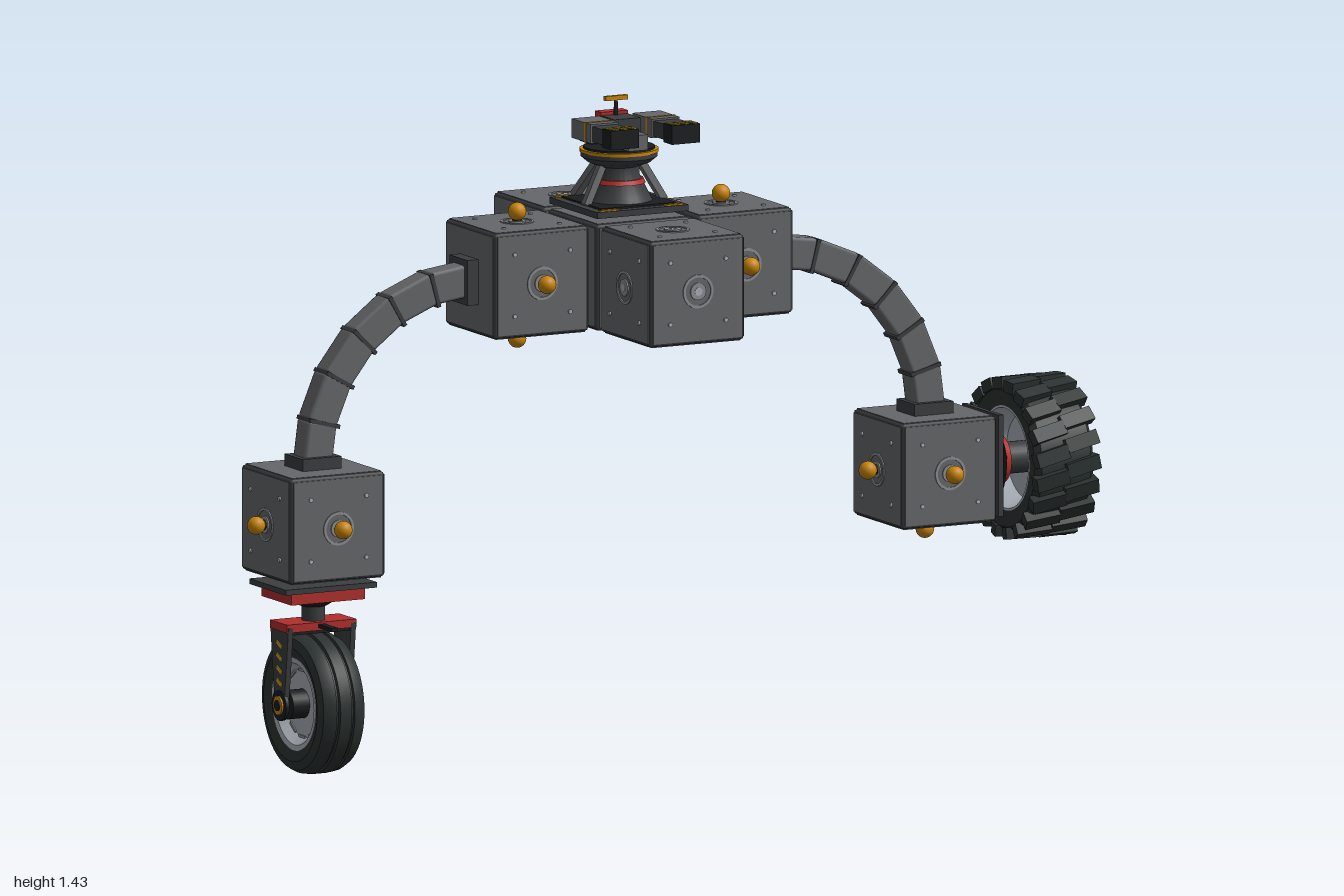
import * as THREE from 'three';
import { mergeGeometries, toCreasedNormals } from 'three/addons/utils/BufferGeometryUtils.js';
import { RoundedBoxGeometry } from 'three/addons/geometries/RoundedBoxGeometry.js';

const COLORS = {
  hullGrey: 0x66676a, darkGrey: 0x3b3d40, black: 0x1b1d1f, rubber: 0x2b3231, rimSilver: 0xa9afb8,
  discGrey: 0x8b8e92, orange: 0xc98508, yellow: 0xd2a52a, red: 0xb02e2c, green: 0x109a58,
};
const UP = new THREE.Vector3(0, 1, 0);
const CX = -0.092; // axis of the central module
const STEP = 0.25, HALF = 0.117;

export function createModel() {
  const M = {};
  for (const k in COLORS) {
    M[k] = new THREE.MeshStandardMaterial({ color: COLORS[k] });
    M[k].name = k;
  }
  const root = new THREE.Group();
  root.name = 'modularRover';

  const group = (name, parent, x = 0, y = 0, z = 0) => {
    const g = new THREE.Group();
    g.name = name;
    g.position.set(x, y, z);
    parent.add(g);
    return g;
  };
  const add = (name, parent, geo, mat, x = 0, y = 0, z = 0) => {
    const m = new THREE.Mesh(geo, M[mat]);
    m.name = name;
    m.position.set(x, y, z);
    parent.add(m);
    return m;
  };
  const box = (w, h, d) => new THREE.BoxGeometry(w, h, d);
  const cyl = (r1, r2, h, n = 24) => new THREE.CylinderGeometry(r1, r2, h, n);
  const lathe = (pts, n = 48) => toCreasedNormals(
    new THREE.LatheGeometry(pts.map(p => new THREE.Vector2(...p)), n), 0.6);
  // Repeat a geometry around the y axis
  const ring = (geo, n, offset = 0) => mergeGeometries(Array.from({ length: n }, (_, i) =>
    geo.clone().rotateY(offset + (i / n) * Math.PI * 2)));
  const ringBand = (inner, outer, h) => lathe(
    [[inner, -h / 2], [outer, -h / 2], [outer, h / 2], [inner, h / 2], [inner, -h / 2]], 32);

  // Module cubes: face types follow +x -x +y -y +z -z
  // b = ball, p = plain socket, l = link, a = arm mount, n = joined
  const dirs = [[1, 0, 0], [-1, 0, 0], [0, 1, 0], [0, -1, 0], [0, 0, 1], [0, 0, -1]];
  const core = new RoundedBoxGeometry(0.232, 0.232, 0.232, 1, 0.008);
  const boltGeo = mergeGeometries([-1, 1].flatMap(a => [-1, 1].map(b =>
    cyl(0.005, 0.005, 0.004, 10).translate(a * 0.068, 0.119, b * 0.068))));
  function module(name, x, y, z, faces) {
    const g = group(name, root, x, y, z);
    add('cubeFrame', g, core, 'darkGrey');
    dirs.forEach((d, i) => {
      const f = group('cubeFace', g);
      f.quaternion.setFromUnitVectors(UP, new THREE.Vector3(...d));
      const type = faces[i];
      add('facePanel', f, box(0.218, 0.004, 0.218), 'hullGrey', 0, 0.1155);
      if (type === 'b' || type === 'p') {
        add('faceBolts', f, boltGeo, 'rimSilver');
        add('socketRing', f, ringBand(0.031, 0.037, 0.004), 'discGrey', 0, 0.118);
        add('socketDisc', f, cyl(0.019, 0.019, 0.005), 'discGrey', 0, 0.118);
        add('socketCentre', f, cyl(0.009, 0.009, 0.006), 'rimSilver', 0, 0.1185);
      }
      if (type === 'b') {
        add('ballNeck', f, cyl(0.009, 0.013, 0.012, 16), 'black', 0, 0.122);
        add('ball', f, new THREE.SphereGeometry(0.02, 24, 16), 'orange', 0, 0.14);
      }
      if (type === 'l') add('link', f, cyl(0.017, 0.017, 0.026), 'green', 0, 0.125);
    });
  }
  module('centreModule', CX, 1.056, 0, 'lllpll');
  module('frontModule', CX, 1.056, STEP, 'pppppn');
  module('backModule', CX, 1.056, -STEP, 'ppppnp');
  module('leftShoulder', CX + STEP, 1.056, 0, 'anbbbb');
  module('rightShoulder', CX - STEP, 1.056, 0, 'nabbbb');
  module('leftFootModule', CX + 3 * STEP, 0.556, 0, 'lbabbb');
  module('rightFootModule', CX - 3 * STEP, 0.556, 0, 'bbalbb');

  // Curved arms, quarter circle in six straight segments
  const R = 0.383, N = 6, dt = Math.PI / 2 / N;
  for (const s of [1, -1]) {
    const arm = group(s > 0 ? 'leftArm' : 'rightArm', root, CX + s * (STEP + HALF), 0.673, 0);
    const place = (m, t, r = R) => {
      m.position.x = s * r * Math.cos(t);
      m.position.y = r * Math.sin(t);
      m.rotation.z = s * t;
    };
    const chord = 2 * (R + 0.03) * Math.sin(dt / 2);
    for (let i = 0; i < N; i++) {
      const t = (i + 0.5) * dt;
      place(add('armSegment', arm, new RoundedBoxGeometry(0.072, chord, 0.058, 1, 0.008), 'hullGrey'), t);
      const mark = add('armMark', arm, box(0.026, 0.036, 0.004), 'red', 0, 0, -0.029);
      place(mark, t);
      if (i > 0) place(add('armJoint', arm, box(0.076, 0.009, 0.062), 'darkGrey'), i * dt);
    }
    add('upperFlange', arm, box(0.028, 0.1, 0.085), 'darkGrey', s * 0.013, R);
    add('lowerFlange', arm, box(0.095, 0.028, 0.085), 'darkGrey', s * R, 0.013);
  }

  // Drive wheel with chunky tread
  const mount = group('driveMount', root, CX + 3 * STEP, 0.556, 0);
  mount.rotation.z = -Math.PI / 2;
  add('mountPlate', mount, box(0.224, 0.012, 0.17), 'darkGrey', 0, 0.142);
  add('mountTrim', mount, box(0.2, 0.006, 0.15), 'orange', 0, 0.15);
  add('mountCone', mount, cyl(0.055, 0.095, 0.022), 'black', 0, 0.162);
  add('mountRing', mount, cyl(0.054, 0.058, 0.014), 'red', 0, 0.178);
  add('driveAxle', mount, cyl(0.035, 0.035, 0.09), 'darkGrey', 0, 0.21);

  const wheel = group('driveWheel', mount, 0, 0.262, 0);
  add('driveTyre', wheel, lathe([[0.115, -0.066], [0.15, -0.072], [0.163, -0.06], [0.165, 0],
    [0.163, 0.06], [0.15, 0.072], [0.115, 0.066], [0.115, -0.066]]), 'rubber');
  const lug = side => box(0.026, 0.08, 0.032).rotateX(0.22).translate(0.164, side * 0.037, 0);
  add('treadLugs', wheel, mergeGeometries([ring(lug(1), 20), ring(lug(-1), 20, Math.PI / 20)]), 'rubber');
  add('driveRim', wheel, lathe([[0, 0.0], [0.09, 0.0], [0.105, 0.06], [0.112, 0.068], [0.118, 0.066],
    [0.118, -0.066], [0.11, -0.066], [0.095, -0.012], [0, -0.012]].reverse()), 'rimSilver').material.side = THREE.DoubleSide;
  add('driveSpokes', wheel, ring(box(0.07, 0.022, 0.017).translate(0.065, 0.012, 0), 6), 'discGrey');
  add('driveHub', wheel, cyl(0.036, 0.042, 0.04), 'black', 0, 0.015);
  add('driveHubCap', wheel, cyl(0.019, 0.019, 0.008), 'rimSilver', 0, 0.037);
  add('driveHubBolts', wheel, ring(cyl(0.004, 0.004, 0.006, 8).translate(0.028, 0.037, 0), 6), 'rimSilver');

  // Caster mount and fork
  const caster = group('caster', root, CX - 3 * STEP, 0, 0);
  add('casterPlate', caster, box(0.224, 0.012, 0.17), 'darkGrey', 0, 0.418);
  add('casterRedPlate', caster, box(0.18, 0.024, 0.14), 'red', 0, 0.398);
  add('casterCollar', caster, cyl(0.055, 0.03, 0.016), 'black', 0, 0.378);
  add('casterShaft', caster, cyl(0.026, 0.026, 0.05), 'darkGrey', 0, 0.355);
  add('forkCrown', caster, box(0.17, 0.018, 0.08), 'red', 0, 0.329);
  add('forkBridge', caster, box(0.15, 0.008, 0.07), 'black', 0, 0.317);
  add('brakeLever', caster, box(0.016, 0.008, 0.07), 'black', 0, 0.33, 0.065);
  const legShape = new THREE.Shape([[-0.042, 0.33], [-0.038, 0.29], [-0.02, 0.14], [0.02, 0.14],
    [0.038, 0.29], [0.042, 0.33]].map(p => new THREE.Vector2(...p)));
  const legGeo = new THREE.ExtrudeGeometry(legShape, { depth: 0.012, bevelEnabled: false })
    .translate(0, 0, -0.006).rotateY(Math.PI / 2);
  for (const s of [1, -1]) {
    add('forkLeg', caster, legGeo, 'darkGrey', s * 0.077);
    for (let i = 0; i < 4; i++) {
      const stripe = add('forkStripe', caster, box(0.004, 0.009, 0.026), 'yellow', s * 0.083, 0.205 + i * 0.028);
      stripe.rotation.x = 0.45;
    }
    for (const [r, mat, off] of [[0.034, 'black', 0.08], [0.021, 'orange', 0.084], [0.012, 'black', 0.086]])
      add('axleCap', caster, cyl(r, r, 0.008), mat, s * off, 0.155).rotation.z = Math.PI / 2;
  }

  // Caster wheel
  const cw = group('casterWheel', caster, 0, 0.155, 0);
  cw.rotation.z = -Math.PI / 2;
  add('casterTyre', cw, lathe([[0.1, -0.046], [0.125, -0.056], [0.144, -0.05], [0.152, -0.036], [0.154, -0.022],
    [0.149, -0.02], [0.149, -0.016], [0.155, -0.014], [0.155, 0.014], [0.149, 0.016], [0.149, 0.02],
    [0.154, 0.022], [0.152, 0.036], [0.144, 0.05], [0.125, 0.056], [0.1, 0.046], [0.1, -0.046]], 56), 'rubber');
  add('casterRim', cw, lathe([[0, -0.025], [0.075, -0.025], [0.09, -0.046], [0.102, -0.048],
    [0.102, 0.048], [0.09, 0.046], [0.075, 0.025], [0, 0.025]]), 'rimSilver');
  for (const s of [1, -1])
    add('rimVents', cw, ring(box(0.006, 0.004, 0.03).translate(0.073, s * 0.026, 0), 10), 'discGrey');
  add('casterHub', cw, cyl(0.032, 0.032, 0.13), 'black');

  // Turret base, struts and turntable
  const turret = group('turret', root, CX, 0, 0);
  add('turretBase', turret, box(0.224, 0.014, 0.224), 'darkGrey', 0, 1.192);
  add('turretBaseTop', turret, box(0.185, 0.006, 0.185), 'black', 0, 1.2);
  for (const s of [1, -1]) for (const z of [1, -1])
    add('baseCornerStripe', turret, box(0.045, 0.004, 0.01), 'orange', s * 0.08, 1.2, z * 0.103);
  add('pedestal', turret, lathe([[0, 1.2], [0.074, 1.2], [0.066, 1.215], [0.044, 1.26], [0.044, 1.278],
    [0.07, 1.288], [0.084, 1.3], [0.084, 1.31], [0, 1.31]]), 'darkGrey');
  add('pedestalBand', turret, cyl(0.053, 0.058, 0.01), 'red', 0, 1.246);
  add('turntableRing', turret, cyl(0.086, 0.086, 0.007, 40), 'orange', 0, 1.313);
  add('turntable', turret, cyl(0.078, 0.078, 0.01, 40), 'black', 0, 1.316);
  const strut = (x, z) => {
    const a = new THREE.Vector3(x * 0.095, 1.2, z * 0.1), b = new THREE.Vector3(x * 0.05, 1.28, z * 0.045);
    const m = add('strut', turret, box(0.016, a.distanceTo(b), 0.018), 'hullGrey');
    m.position.lerpVectors(a, b, 0.5);
    m.quaternion.setFromUnitVectors(UP, b.sub(a).normalize());
  };
  for (const [x, z] of [[1, 0.25], [-1, 0.25], [0.6, -1], [-0.6, -1]]) strut(x, z);

  // Turret head and twin guns
  add('headBody', turret, box(0.064, 0.066, 0.07), 'darkGrey', 0, 1.353, 0.005);
  add('headFront', turret, box(0.048, 0.034, 0.06), 'hullGrey', 0, 1.34, 0.06);
  add('headRedPanel', turret, box(0.066, 0.064, 0.028), 'red', 0, 1.361, -0.035);
  add('headRearBox', turret, box(0.1, 0.026, 0.055), 'black', 0, 1.335, -0.062);
  add('gunAxle', turret, cyl(0.011, 0.011, 0.12, 16), 'black', 0, 1.365, 0.01).rotation.z = Math.PI / 2;
  for (const s of [1, -1]) {
    const gun = group('gun', turret, s * 0.075, 1.366, 0);
    add('gunHousing', gun, box(0.068, 0.042, 0.09), 'hullGrey', 0, 0, 0.03);
    add('gunBarrel', gun, box(0.06, 0.034, 0.06), 'darkGrey', 0, 0, 0.1);
    add('gunMuzzle', gun, box(0.068, 0.042, 0.04), 'black', 0, 0, 0.15);
    for (const x of [-0.022, 0, 0.022])
      add('muzzleStripe', gun, box(0.009, 0.003, 0.034), 'yellow', x, 0.0215, 0.15).rotation.y = 0.35;
    add('gunBand', gun, box(0.07, 0.044, 0.007), 'orange', 0, 0, 0.05);
  }
  add('antennaStem', turret, cyl(0.004, 0.005, 0.045, 10), 'black', 0, 1.405, -0.015);
  add('antennaBar', turret, box(0.054, 0.01, 0.01), 'orange', 0, 1.424, -0.015);
  return root;
}
